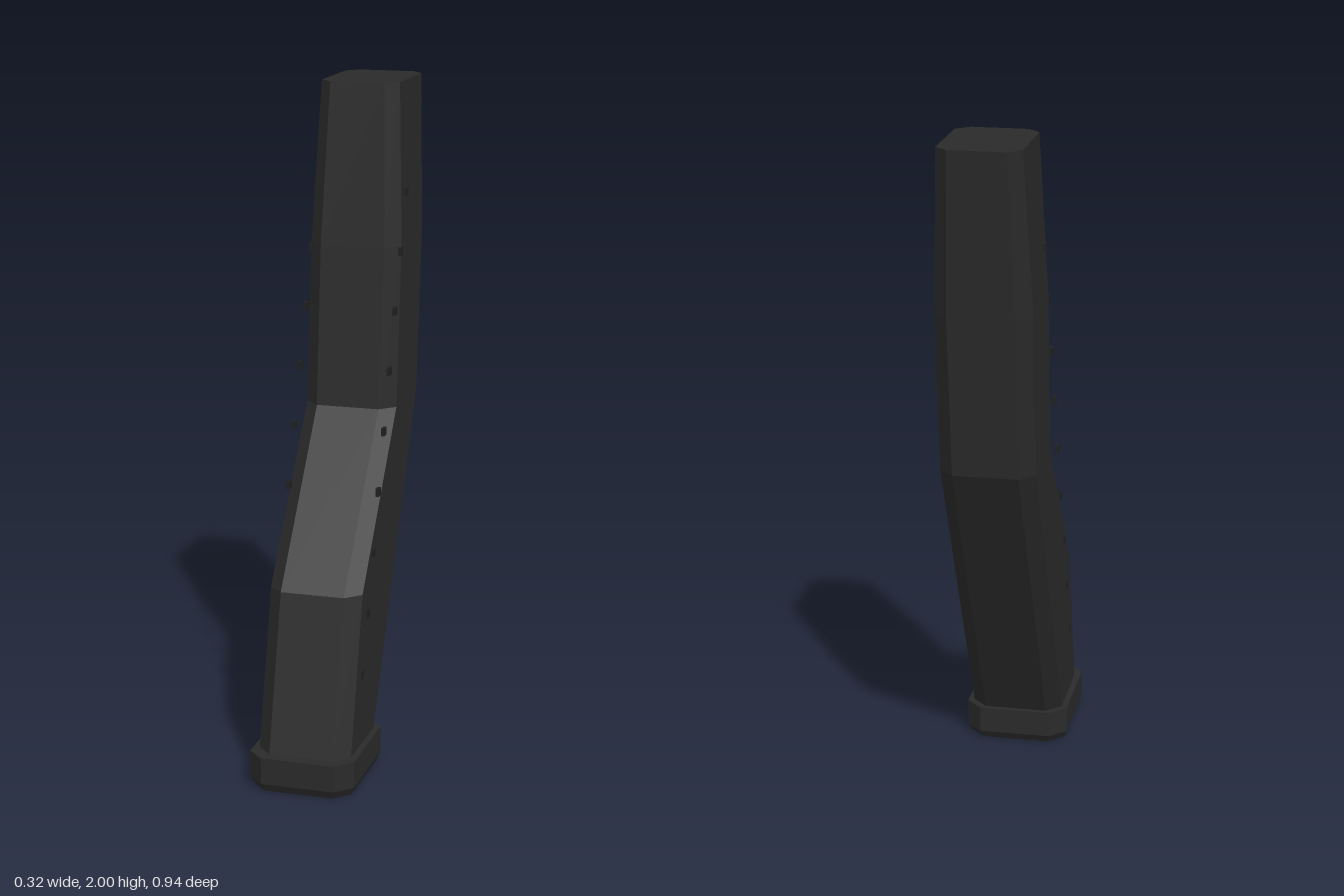
import * as THREE from 'three';

const shell = new THREE.MeshStandardMaterial({ color: 0x2a2a2a });
shell.name = 'charcoal shell';
const dark = new THREE.MeshStandardMaterial({ color: 0x202020 });
dark.name = 'dark studs';

// Chamfered rectangle at height y: half width, front z, back z, chamfer
function ring({ y, w, front, back, c }) {
  return [
    [w - c, front], [w, front - c], [w, back + c], [w - c, back],
    [c - w, back], [-w, back + c], [-w, front - c], [c - w, front],
  ].map(([x, z]) => new THREE.Vector3(x, y, z));
}

// Closed, hard-edged loft through sections listed from bottom to top
function loft(sections) {
  const rings = sections.map(ring);
  const points = [];
  const n = 8;
  for (let s = 0; s < rings.length - 1; s++) {
    const a = rings[s], b = rings[s + 1];
    for (let i = 0; i < n; i++) {
      const j = (i + 1) % n;
      points.push(a[i], a[j], b[j], a[i], b[j], b[i]);
    }
  }
  const bottom = rings[0], top = rings[rings.length - 1];
  for (let i = 1; i < n - 1; i++) {
    points.push(bottom[0], bottom[i + 1], bottom[i]);
    points.push(top[0], top[i], top[i + 1]);
  }
  const geometry = new THREE.BufferGeometry().setFromPoints(points);
  geometry.computeVertexNormals();
  return geometry;
}

export function createModel() {
  const model = new THREE.Group();
  model.name = 'curvedMagazine';
  const add = (geometry, material, name) => {
    const mesh = new THREE.Mesh(geometry, material);
    mesh.name = name;
    model.add(mesh);
    return mesh;
  };

  // Bent body, tapering in width near the top
  add(loft([
    { y: 0.09, w: 0.14, front: 0.437, back: 0.11, c: 0.044 },
    { y: 0.565, w: 0.14, front: 0.315, back: -0.13, c: 0.044 },
    { y: 1.04, w: 0.14, front: -0.05, back: -0.37, c: 0.044 },
    { y: 1.52, w: 0.14, front: -0.1, back: -0.422, c: 0.042 },
    { y: 2, w: 0.12, front: -0.15, back: -0.474, c: 0.037 },
  ]), shell, 'body');

  // Wider floor plate with a bevelled underside
  add(loft([
    { y: 0, w: 0.148, front: 0.458, back: 0.102, c: 0.045 },
    { y: 0.025, w: 0.159, front: 0.471, back: 0.087, c: 0.049 },
    { y: 0.105, w: 0.159, front: 0.471, back: 0.087, c: 0.049 },
  ]), shell, 'floorPlate');

  // Slanted row of small studs on each side
  const stud = new THREE.BoxGeometry(0.01, 0.024, 0.024);
  for (const side of [1, -1]) {
    for (let i = 0; i < 9; i++) {
      add(stud, dark, side > 0 ? 'leftStud' : 'rightStud')
        .position.set(side * 0.138, 0.32 + i * 0.1695, 0.275 - i * 0.0588);
    }
  }
  return model;
}
